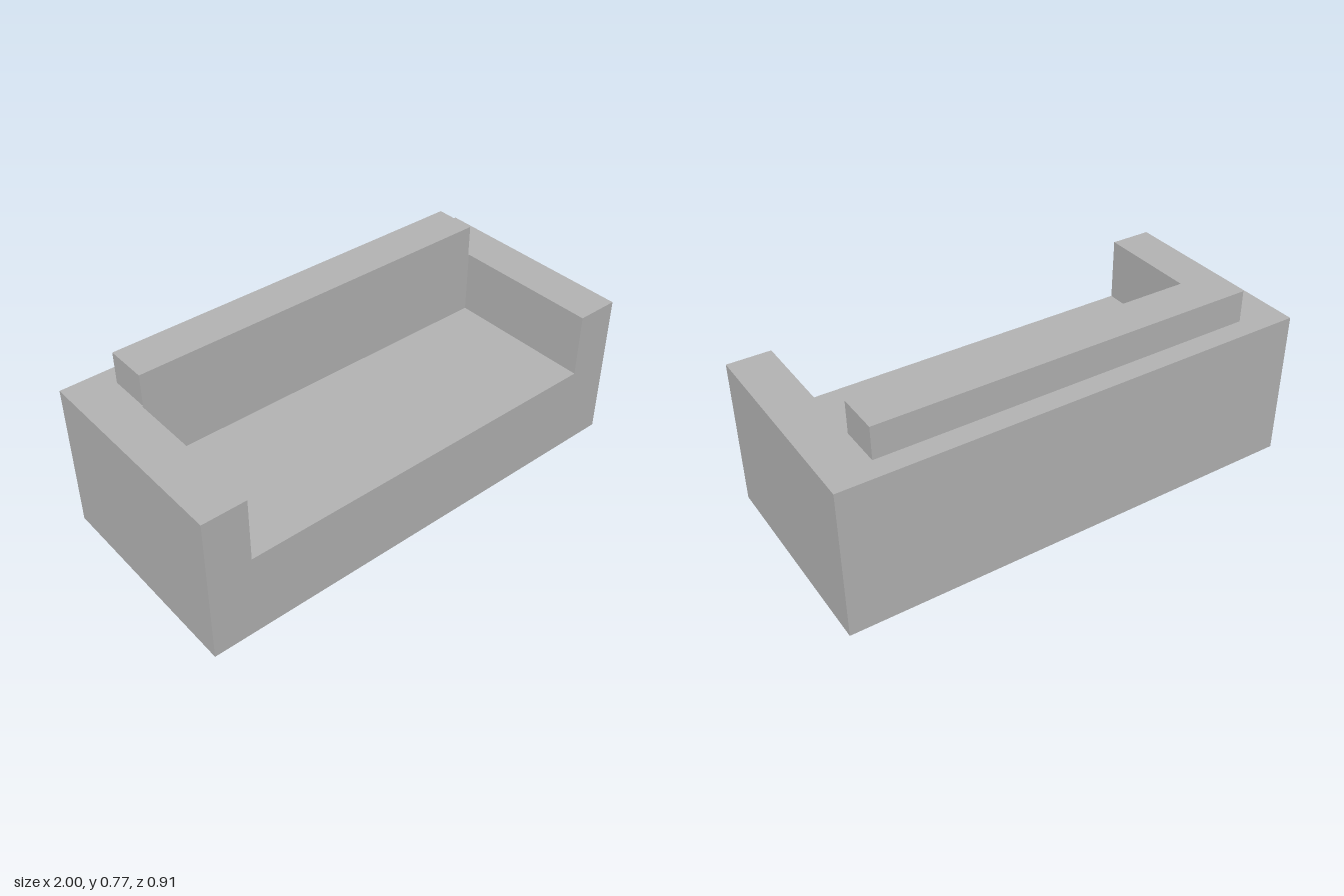
import * as THREE from 'three';

export function createModel() {
  const group = new THREE.Group();
  const grey = new THREE.MeshStandardMaterial({ color: 0xb2b2b2 });
  grey.name = 'grey upholstery';

  const halfW = 1, halfD = 0.455, armTop = 0.637, seatTop = 0.364;
  const innerX = 0.818, backFront = -0.184;

  const add = (name, geometry, x = 0, y = 0, z = 0) => {
    const mesh = new THREE.Mesh(geometry, grey);
    mesh.name = name;
    mesh.position.set(x, y, z);
    group.add(mesh);
  };

  // Seat and both arms: one U-shaped section run from the back to the front
  const section = new THREE.Shape([
    [-halfW, 0], [halfW, 0], [halfW, armTop], [innerX, armTop],
    [innerX, seatTop], [-innerX, seatTop], [-innerX, armTop], [-halfW, armTop],
  ].map(([x, y]) => new THREE.Vector2(x, y)));
  add('seatAndArms', new THREE.ExtrudeGeometry(section, {
    depth: halfD - backFront, bevelEnabled: false,
  }), 0, 0, backFront);

  // Solid back, level with the arms
  const backDepth = backFront + halfD;
  add('back', new THREE.BoxGeometry(halfW * 2, armTop, backDepth),
    0, armTop / 2, -halfD + backDepth / 2);

  // Raised backrest standing on the back, flush with its front
  const restHeight = 0.136, restDepth = 0.18;
  add('backrest', new THREE.BoxGeometry(1.628, restHeight, restDepth),
    0, armTop + restHeight / 2, backFront - restDepth / 2);

  return group;
}
